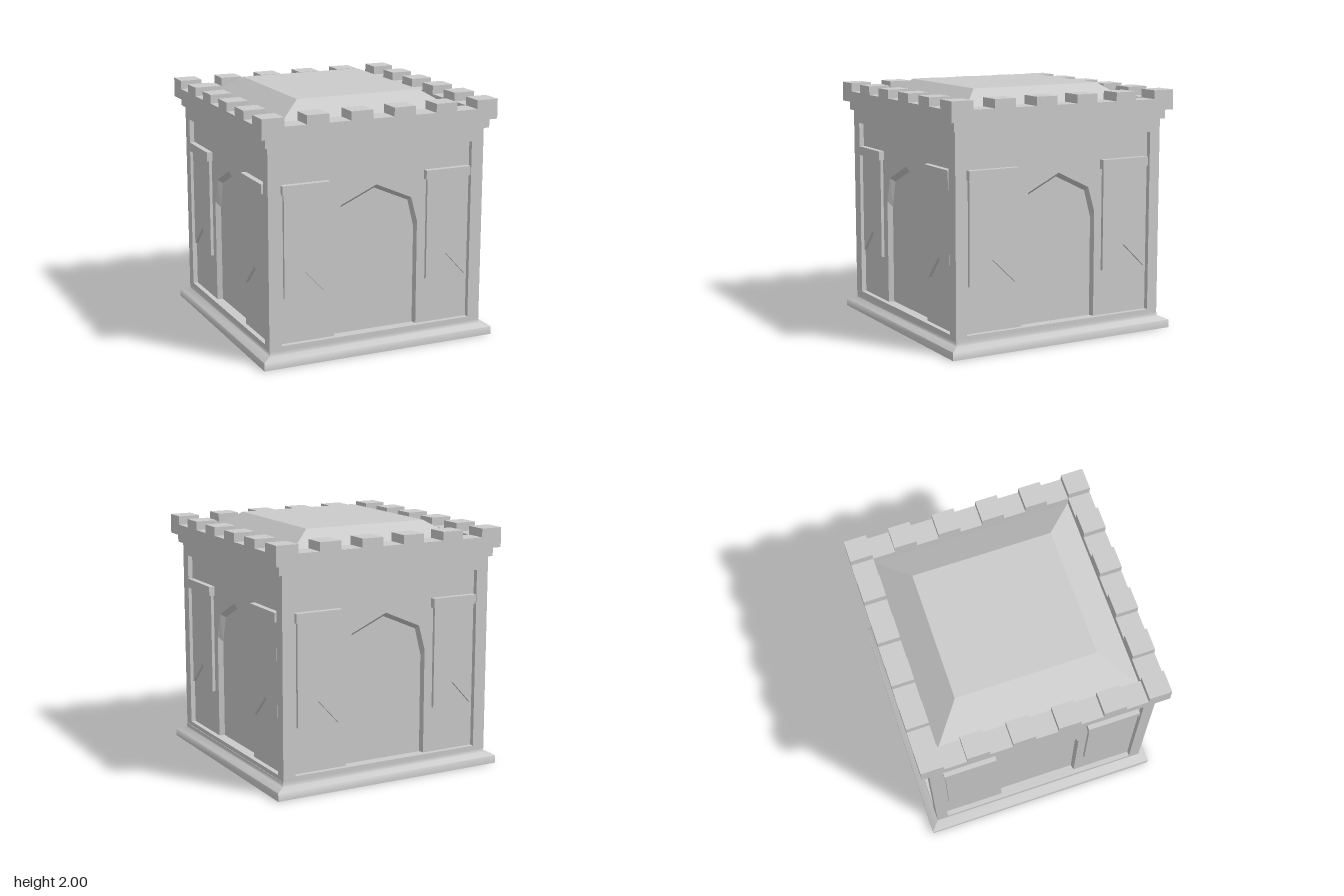
import * as THREE from 'three';
import { toCreasedNormals } from 'three/addons/utils/BufferGeometryUtils.js';

const stone = new THREE.MeshStandardMaterial({ color: 0xcccccc });

function add(parent, name, geometry, x = 0, y = 0, z = 0) {
  const mesh = new THREE.Mesh(geometry, stone);
  mesh.name = name;
  mesh.position.set(x, y, z);
  parent.add(mesh);
  return mesh;
}

// Skin between successive closed rings of [x, y, z], optionally capped at both ends
function loft(rings, capped = false) {
  const pos = [];
  const tri = (...pts) => pts.forEach((p) => pos.push(...p));
  for (let r = 0; r + 1 < rings.length; r++) {
    const a = rings[r], b = rings[r + 1];
    for (let i = 0; i < a.length; i++) {
      const j = (i + 1) % a.length;
      tri(a[i], a[j], b[j]);
      tri(a[i], b[j], b[i]);
    }
  }
  if (capped) {
    const a = rings[0], b = rings[rings.length - 1];
    for (let i = 1; i + 1 < a.length; i++) {
      tri(a[0], a[i + 1], a[i]);
      tri(b[0], b[i], b[i + 1]);
    }
  }
  const g = new THREE.BufferGeometry();
  g.setAttribute('position', new THREE.Float32BufferAttribute(pos, 3));
  g.computeVertexNormals();
  return g;
}

const rect = (x, z, y, cz = 0) => [[-x, y, cz + z], [x, y, cz + z], [x, y, cz - z], [-x, y, cz - z]];
const shapeOf = (pts) => new THREE.Shape(pts.map(([x, y]) => new THREE.Vector2(x, y)));
const atDepth = (pts, z) => pts.map(([x, y]) => [x, y, z]);
const box = (x0, x1, y0, y1) => [[x0, y0], [x1, y0], [x1, y1], [x0, y1]];

const FLOOR = 0.155, WALL_LOW = 0.12, WALL_TOP = 1.73;
const PANEL_DEPTH = 0.04, ARCH_DEPTH = 0.045;

// One wall: frame, sunken panel, pointed blind arch and two hanging banners
function buildWall(name, d) {
  const wall = new THREE.Group();
  wall.name = name;
  const panel = box(-d.panel, d.panel, FLOOR, 1.62);
  const archOutline = (inset, drop) => [
    [-d.arch + inset, FLOOR], [d.arch - inset, FLOOR],
    [d.arch - inset, 1.01 - drop * 1.4], [d.shoulder - inset, 1.21 - drop * 0.85],
    [0, 1.345 - drop],
    [-d.shoulder + inset, 1.21 - drop * 0.85], [-d.arch + inset, 1.01 - drop * 1.4],
  ];
  const outer = archOutline(0, 0), inner = archOutline(0.01, 0.035);

  // Frame around the panel
  const frame = shapeOf(box(-d.half, d.half, WALL_LOW, WALL_TOP));
  frame.holes.push(shapeOf(panel));
  add(wall, 'wallFrame', new THREE.ShapeGeometry(frame));
  add(wall, 'panelReveal', loft([atDepth(panel, 0), atDepth(panel, -PANEL_DEPTH)]));

  // Panel outline runs up and over the arch opening
  const archPath = [outer[0], ...outer.slice(2).reverse(), outer[1]];
  const panelFace = [panel[0], ...archPath, panel[1], panel[2], panel[3]];
  add(wall, 'panel', new THREE.ShapeGeometry(shapeOf(panelFace)), 0, 0, -PANEL_DEPTH);
  const back = -PANEL_DEPTH - ARCH_DEPTH;
  add(wall, 'archReveal', loft([atDepth(outer, -PANEL_DEPTH), atDepth(inner, back)]));
  add(wall, 'archBack', new THREE.ShapeGeometry(shapeOf(inner)), 0, 0, back);

  // Swallow-tailed banners on rods
  for (const side of [-1, 1]) {
    const [b0, b1] = d.banner, [r0, r1] = d.rod;
    const cloth = shapeOf([
      [side * b0, 0.525], [side * (b0 + b1) / 2, 0.72], [side * b1, 0.525],
      [side * b1, 1.37], [side * b0, 1.37],
    ]);
    add(wall, 'banner', new THREE.ExtrudeGeometry(cloth, { depth: 0.025, bevelEnabled: false }),
      0, 0, -PANEL_DEPTH);
    add(wall, 'bannerRod', new THREE.BoxGeometry(r1 - r0, 0.075, PANEL_DEPTH + 0.007),
      side * (r0 + r1) / 2, 1.385, (0.007 - PANEL_DEPTH) / 2);
  }
  return wall;
}

export function createModel() {
  const model = new THREE.Group();
  model.name = 'castleBlock';
  const HX = 0.925, HZ = 0.932;

  // Flared plinth, smooth along its profile
  const plinth = loft([rect(1, 1, 0), rect(1, 1, 0.065), rect(HX, HZ, 0.087), rect(HX, HZ, WALL_LOW)], true);
  add(model, 'plinth', toCreasedNormals(plinth, 1.4));

  // Four walls, opposite ones alike
  const wide = { half: HX, panel: 0.82, arch: 0.36, shoulder: 0.305, banner: [0.435, 0.79], rod: [0.415, 0.81] };
  const narrow = { half: HZ, panel: 0.838, arch: 0.335, shoulder: 0.275, banner: [0.403, 0.806], rod: [0.385, 0.816] };
  const body = new THREE.Group();
  body.name = 'body';
  body.position.x = -0.004;
  ['frontWall', 'leftWall', 'backWall', 'rightWall'].forEach((name, k) => {
    const wall = buildWall(name, k % 2 ? narrow : wide);
    const dist = k % 2 ? HX : HZ, angle = k * Math.PI / 2;
    wall.rotation.y = angle;
    wall.position.set(Math.sin(angle) * dist, 0, Math.cos(angle) * dist);
    body.add(wall);
  });
  model.add(body);

  // Cornice under the parapet
  add(model, 'cornice', new THREE.BoxGeometry(1.91, 0.08, 1.915), 0, 1.765, 0);

  // Parapet ring
  const IN = 0.818;
  const ring = shapeOf(box(-1, 1, -1, 1));
  ring.holes.push(shapeOf(box(-IN, IN, -IN, IN)));
  const parapet = new THREE.ExtrudeGeometry(ring, { depth: 0.09, bevelEnabled: false });
  parapet.rotateX(-Math.PI / 2);
  add(model, 'parapet', parapet, 0, 1.8, 0);

  // Battlements: every second of eleven cells along each side
  const cell = 2 / 11;
  for (let i = 0; i < 11; i += 2) {
    for (let j = 0; j < 11; j += 2) {
      if (i % 10 && j % 10) continue;
      add(model, 'merlon', new THREE.BoxGeometry(cell, 0.07, cell),
        -1 + (i + 0.5) * cell, 1.925, -1 + (j + 0.5) * cell);
    }
  }

  // Hipped flat-topped roof
  add(model, 'roof', loft([rect(IN, IN, 1.81), rect(0.53, 0.57, 2, -0.008)], true));
  return model;
}
